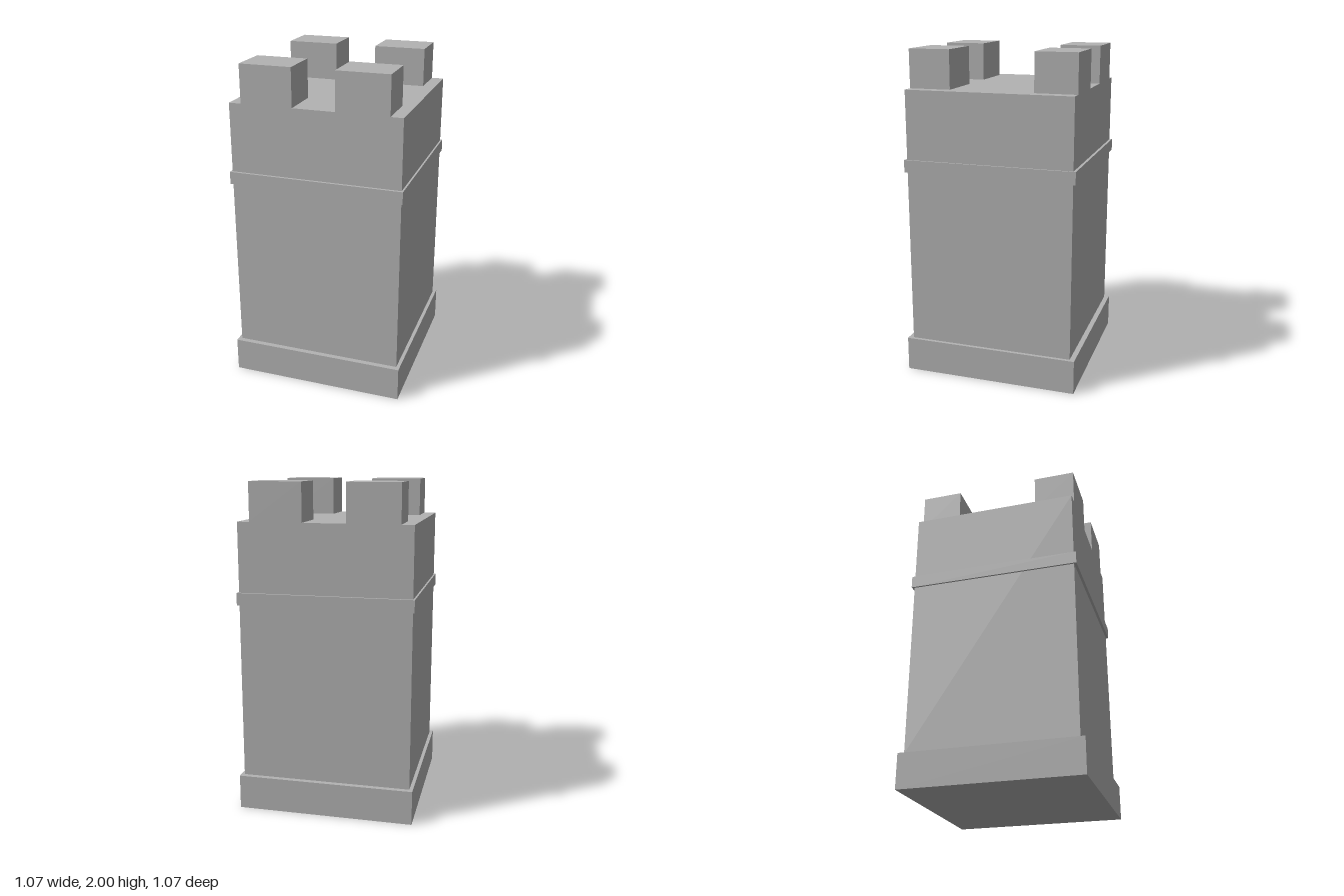
import * as THREE from 'three';

export function createModel() {
  const tower = new THREE.Group();
  tower.name = 'tower';
  const stone = new THREE.MeshStandardMaterial({ color: 0xb2b2b2 });
  stone.name = 'grey stone';

  // Box given by width, depth and its bottom and top heights
  function block(name, width, depth, bottom, top, x = 0, z = 0) {
    const mesh = new THREE.Mesh(new THREE.BoxGeometry(width, top - bottom, depth), stone);
    mesh.name = name;
    mesh.position.set(x, (bottom + top) / 2, z);
    tower.add(mesh);
  }

  block('plinth', 1.074, 1.074, 0, 0.21);
  block('shaft', 1.032, 1.012, 0.21, 1.77);
  block('stringCourse', 1.054, 1.044, 1.28, 1.355);

  // Four merlons, flush with the front and back walls
  for (const [zSide, zName] of [[1, 'Front'], [-1, 'Back']]) {
    for (const [xSide, xName] of [[1, 'Left'], [-1, 'Right']]) {
      block(`merlon${zName}${xName}`, 0.314, 0.252, 1.77, 2, xSide * 0.285, zSide * 0.38);
    }
  }
  return tower;
}
